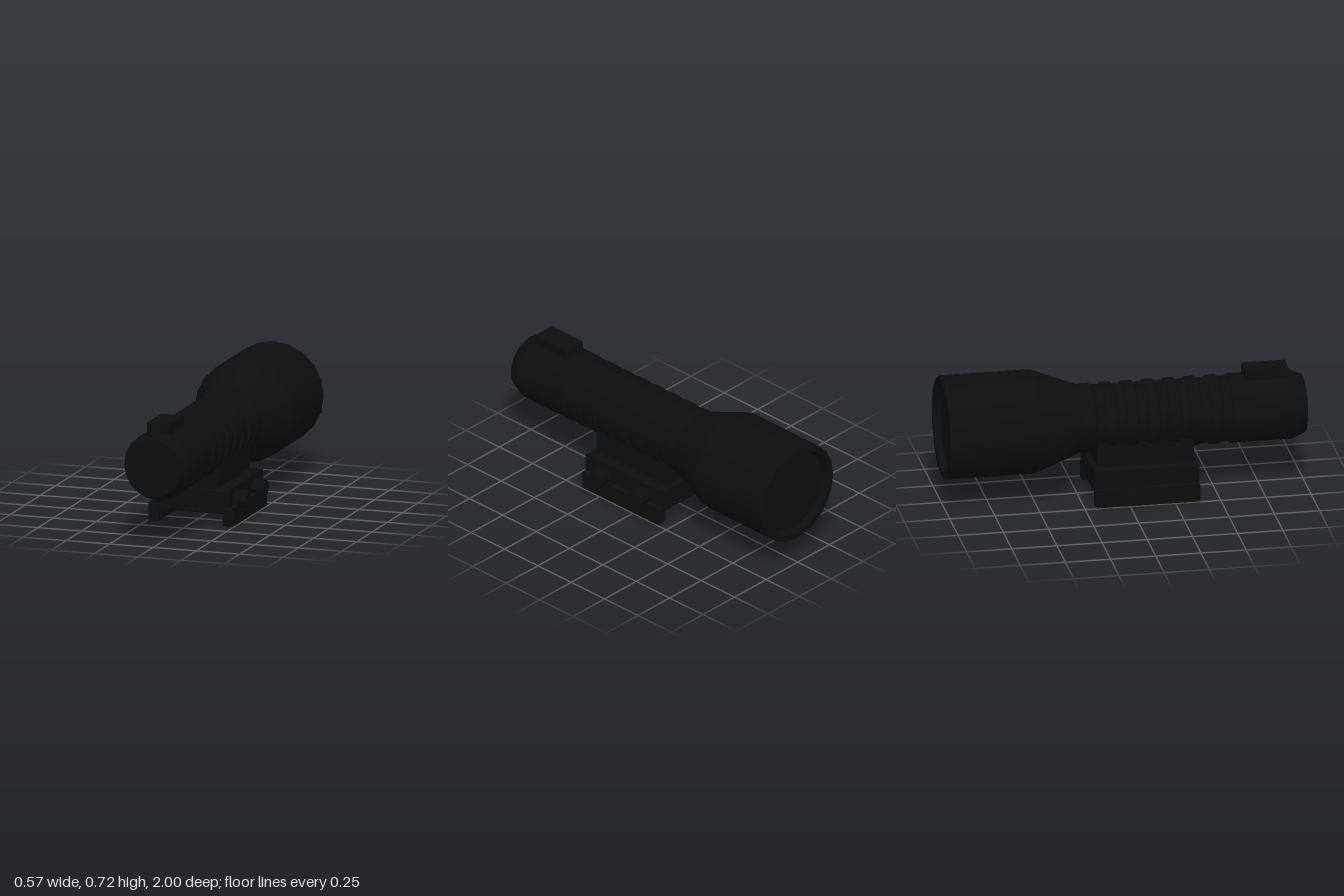
import * as THREE from 'three';
import { toCreasedNormals } from 'three/addons/utils/BufferGeometryUtils.js';

const AXIS_Y = 0.437;

export function createModel() {
  const model = new THREE.Group();
  model.name = 'mountedFlashlight';
  const black = new THREE.MeshStandardMaterial({ color: 0x0d0d0d });
  black.name = 'matteBlack';

  function add(name, geometry, x = 0, y = 0, z = 0) {
    const mesh = new THREE.Mesh(toCreasedNormals(geometry, 0.35), black);
    mesh.name = name;
    mesh.position.set(x, y, z);
    model.add(mesh);
    return mesh;
  }

  // Block with chamfered edges, given by its bounds
  function addBlock(name, [x0, x1], [y0, y1], [z0, z1], c = 0.008) {
    const w = (x1 - x0) / 2 - c, h = (y1 - y0) / 2 - c, d = z1 - z0 - 2 * c;
    const shape = new THREE.Shape([
      new THREE.Vector2(-w, -h), new THREE.Vector2(w, -h),
      new THREE.Vector2(w, h), new THREE.Vector2(-w, h),
    ]);
    const geo = new THREE.ExtrudeGeometry(shape, {
      depth: d, bevelEnabled: true, bevelSize: c, bevelThickness: c, bevelSegments: 1,
    });
    geo.translate(0, 0, -d / 2);
    return add(name, geo, (x0 + x1) / 2, (y0 + y1) / 2, (z0 + z1) / 2);
  }

  // Tube turned around z: recessed lens, flared head, ribbed grip, tail cap
  const profile = [
    [0, -0.96], [0.235, -0.96], [0.245, -0.995], [0.25, -1], [0.28, -1], [0.285, -0.995],
    [0.285, -0.5], [0.19, -0.25], [0.19, -0.178],
  ];
  const R = 0.19, GROOVE = 0.18, RIB = 0.035, EDGE = 0.008;
  profile.push([GROOVE, -0.168]);
  for (let i = 0; i < 6; i++) {
    const z = -0.0855 + i * 0.1165;
    profile.push([GROOVE, z - RIB], [R, z - RIB + EDGE], [R, z + RIB - EDGE], [GROOVE, z + RIB]);
  }
  profile.push([GROOVE, 0.578], [R, 0.588], [R, 0.93], [0.16, 1], [0, 1]);
  const body = new THREE.LatheGeometry(profile.map(([r, z]) => new THREE.Vector2(r, z)), 20);
  body.rotateX(Math.PI / 2);
  add('flashlightBody', body, 0, AXIS_Y, 0);

  // Switch on the tail
  addBlock('switchButton', [-0.066, 0.066], [0.58, 0.671], [0.67, 0.912], 0.005);

  // Mount: saddle, base and two rail jaws
  addBlock('mountSaddle', [-0.15, 0.15], [0.17, 0.335], [-0.165, 0.37], 0.004);
  addBlock('mountBase', [-0.218, 0.218], [0.068, 0.201], [-0.19, 0.39], 0.006);
  for (const side of [-1, 1]) {
    const edges = [side * 0.185, side * 0.243].sort((a, b) => a - b);
    addBlock(side > 0 ? 'leftRailJaw' : 'rightRailJaw', edges, [0, 0.101], [-0.19, 0.39]);
  }

  // Clamp bolts on the left side
  const boltProfile = [[0, 0], [0.045, 0], [0.051, 0.008], [0.051, 0.067], [0.044, 0.075], [0, 0.075]];
  for (const z of [0.245, -0.05]) {
    const bolt = new THREE.LatheGeometry(boltProfile.map(([r, h]) => new THREE.Vector2(r, h)), 8);
    bolt.rotateZ(-Math.PI / 2);
    add('clampBolt', bolt, 0.21, 0.128, z);
  }
  return model;
}
